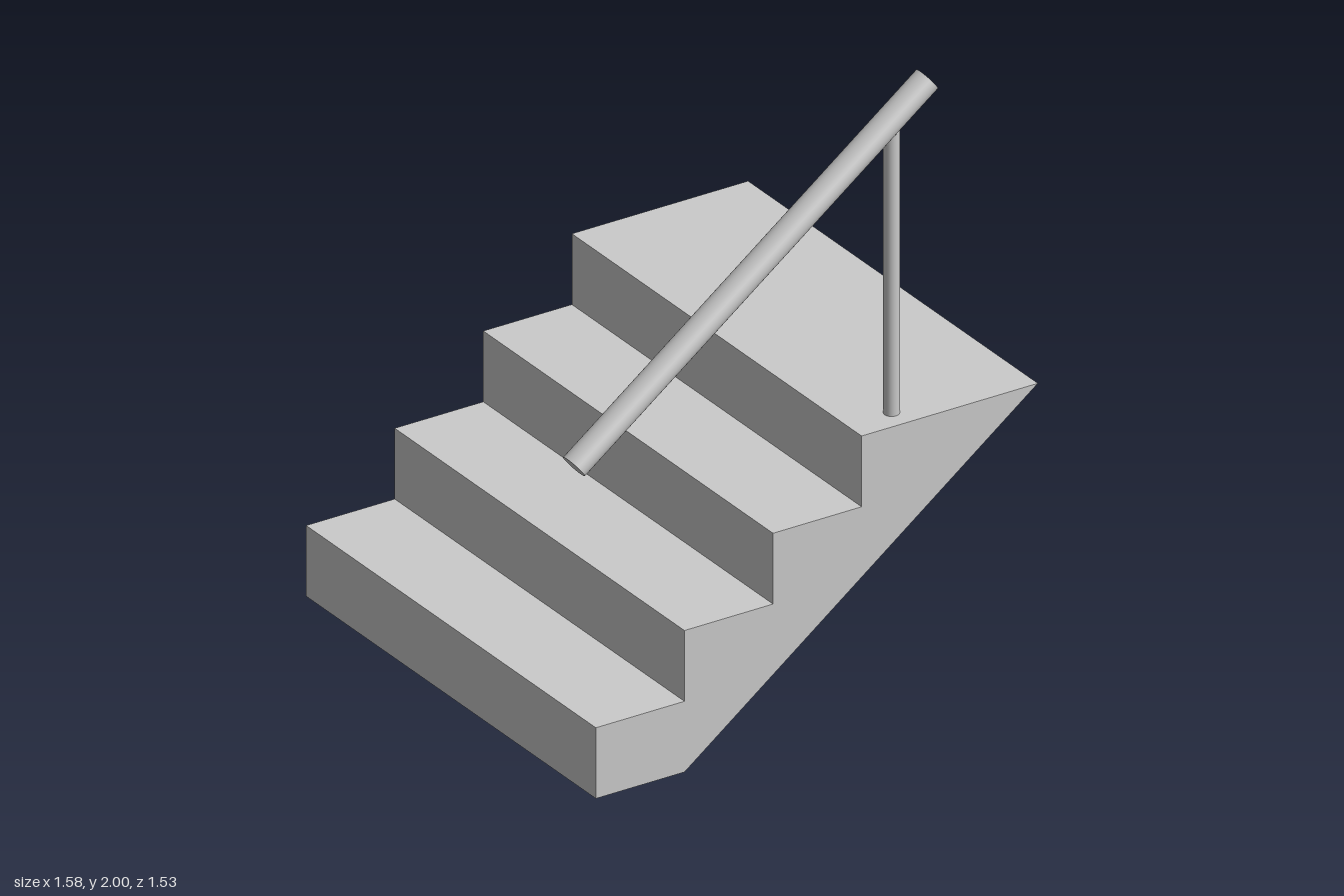
import * as THREE from 'three';

const material = new THREE.MeshStandardMaterial({ color: 0xcccccc });

// Cylinder between two points, stretched across its section by sx and sz
function rod(name, from, to, sx, sz) {
  const mesh = new THREE.Mesh(new THREE.CylinderGeometry(1, 1, from.distanceTo(to), 32), material);
  mesh.name = name;
  mesh.scale.set(sx, 1, sz);
  mesh.position.copy(from).add(to).multiplyScalar(0.5);
  mesh.rotation.z = -Math.atan2(to.x - from.x, to.y - from.y);
  return mesh;
}

export function createModel() {
  const group = new THREE.Group();
  group.name = 'staircase';

  // Stepped profile with a sloping underside, extruded across the width
  const left = -0.74, right = 0.787, run = 0.306, rise = 0.23, steps = 4, width = 1.53;
  const profile = new THREE.Shape();
  profile.moveTo(left + run, 0);
  profile.lineTo(right, rise * steps);
  for (let i = steps - 1; i >= 0; i--) {
    profile.lineTo(left + run * i, rise * (i + 1));
    profile.lineTo(left + run * i, rise * i);
  }
  const stairGeometry = new THREE.ExtrudeGeometry(profile, { depth: width, bevelEnabled: false });
  stairGeometry.translate(0, 0, -width / 2);
  const stairs = new THREE.Mesh(stairGeometry, material);
  stairs.name = 'stairs';
  group.add(stairs);

  // Post on the top landing carrying the sloping, slightly oval handrail
  const z = 0.689;
  group.add(rod('post', new THREE.Vector3(0.331, rise * steps, z), new THREE.Vector3(0.331, 1.86, z), 0.024, 0.024));
  group.add(rod('handrail', new THREE.Vector3(-0.766, 1.053, z), new THREE.Vector3(0.454, 1.97, z), 0.038, 0.046));

  return group;
}
